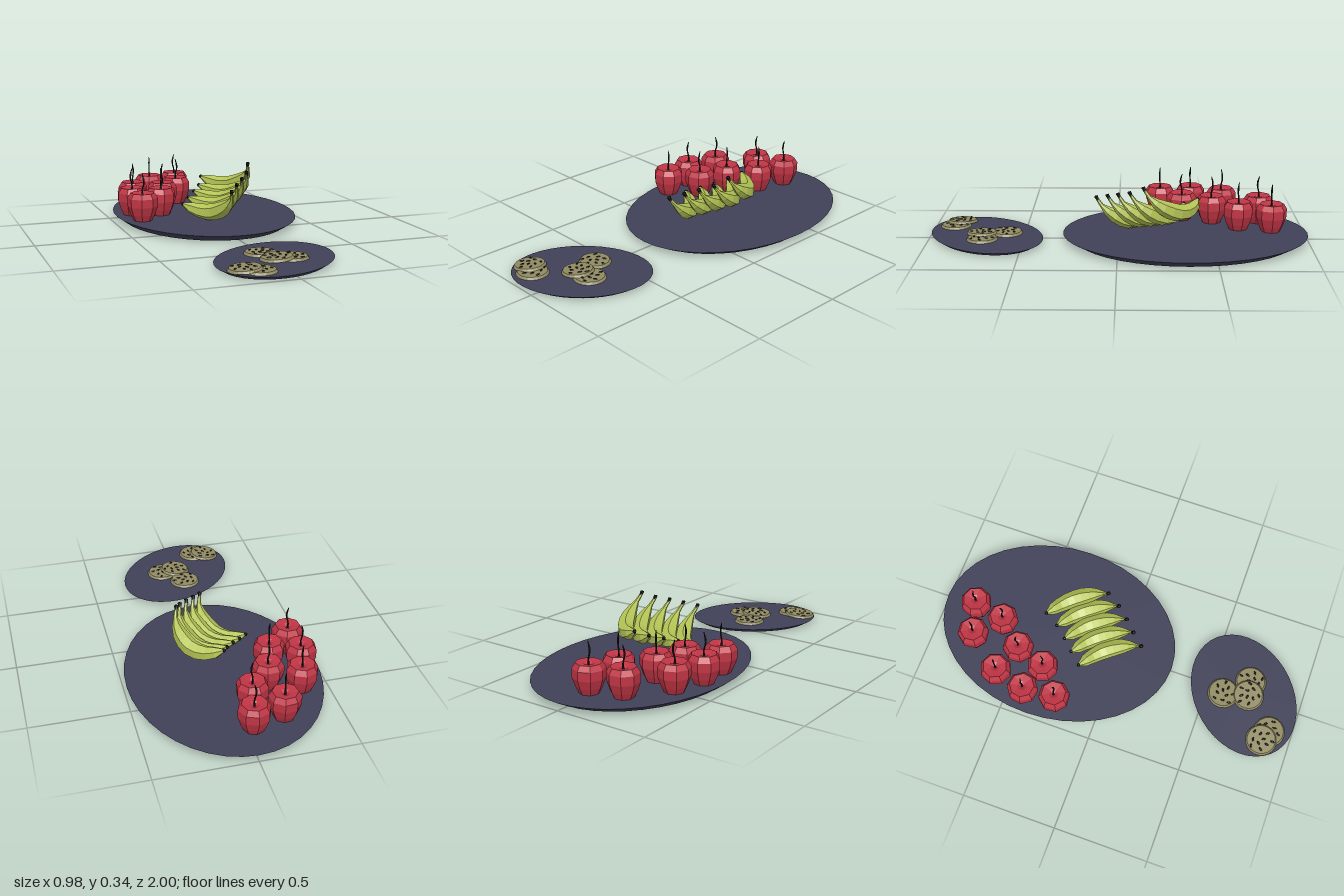
import * as THREE from 'three';

const paint = (color, flatShading = true) =>
  new THREE.MeshStandardMaterial({ color, flatShading, side: THREE.DoubleSide });
const slate = paint(0x404058);
const red = paint(0xc03545);
const green = paint(0xb4c455);
const dark = paint(0x1c1818);
const biscuit = paint(0x918b62);

const v = (x, y, z) => new THREE.Vector3(x, y, z);

function add(parent, name, geometry, material, x = 0, y = 0, z = 0) {
  const mesh = new THREE.Mesh(geometry, material);
  mesh.name = name;
  mesh.position.set(x, y, z);
  parent.add(mesh);
  return mesh;
}

// Tube whose radius follows a list of values along its length
function taperedTube(points, radii, segments, sides) {
  const curve = new THREE.CatmullRomCurve3(points);
  const geo = new THREE.TubeGeometry(curve, segments, 1, sides);
  const pos = geo.attributes.position;
  const p = v(0, 0, 0);
  for (let i = 0; i < pos.count; i++) {
    const t = Math.floor(i / (sides + 1)) / segments;
    const k = Math.min(Math.floor(t * (radii.length - 1)), radii.length - 2);
    const r = THREE.MathUtils.lerp(radii[k], radii[k + 1], t * (radii.length - 1) - k);
    const c = curve.getPointAt(t);
    p.fromBufferAttribute(pos, i).sub(c).multiplyScalar(r).add(c);
    pos.setXYZ(i, p.x, p.y, p.z);
  }
  geo.computeVertexNormals();
  return geo;
}

// Oval plate with a bevelled underside
function addPlate(parent, name, z, size, turn) {
  const geo = new THREE.CylinderGeometry(1, 0.895, 0.037, 40).translate(0, 0.0185, 0);
  const plate = add(parent, name, geo, slate, 0, 0, z);
  plate.scale.set(0.49 * size, size, 0.645 * size);
  plate.rotation.y = turn;
}

// Eight-sided apple with a dimpled top and a wavy stalk
const appleProfile = [
  [0, 0.042], [0.05, 0.037], [0.066, 0.07], [0.081, 0.115],
  [0.081, 0.16], [0.064, 0.187], [0.025, 0.181], [0, 0.165],
].map(([r, y]) => new THREE.Vector2(r, y));
const appleGeo = new THREE.LatheGeometry(appleProfile, 8);
const stalkGeo = taperedTube(
  [v(0, 0.165, 0), v(0.002, 0.2, 0), v(-0.007, 0.235, 0), v(-0.006, 0.26, 0), v(0.002, 0.29, 0)],
  [0.006, 0.004, 0.004, 0.005, 0.002], 8, 5);

function addApple(parent, x, z, turn) {
  const apple = new THREE.Group();
  apple.name = 'apple';
  add(apple, 'appleBody', appleGeo, red);
  add(apple, 'appleStalk', stalkGeo, dark);
  apple.position.set(x, 0, z);
  apple.rotation.y = turn;
  parent.add(apple);
}

// Banana curving up to its stalk end
const bananaGeo = taperedTube(
  [v(-0.172, 0.122, -0.171), v(-0.105, 0.092, -0.135), v(-0.04, 0.088, -0.075),
    v(0, 0.12, 0), v(0.013, 0.17, 0.07), v(0.004, 0.212, 0.105), v(0, 0.222, 0.111)],
  [0.009, 0.031, 0.038, 0.043, 0.045, 0.044, 0.038, 0.026, 0.011, 0.008], 9, 6);
const bananaStalkGeo = taperedTube(
  [v(0.004, 0.21, 0.103), v(0.001, 0.222, 0.11), v(0, 0.233, 0.116)],
  [0.008, 0.009, 0.011], 2, 6);
const bananaCapGeo = new THREE.SphereGeometry(0.0105, 6, 4);

function addBanana(parent, x, y, z) {
  const banana = new THREE.Group();
  banana.name = 'banana';
  add(banana, 'bananaBody', bananaGeo, green);
  add(banana, 'bananaStalk', bananaStalkGeo, dark);
  add(banana, 'bananaStalkEnd', bananaCapGeo, dark, 0, 0.231, 0.115).scale.y = 0.4;
  add(banana, 'bananaTip', bananaCapGeo, dark, -0.173, 0.123, -0.172);
  banana.position.set(x, y, z);
  parent.add(banana);
}

// Round biscuit with chips scattered in a spiral
const biscuitGeo = new THREE.CylinderGeometry(0.074, 0.082, 0.012, 20);
const chipGeo = new THREE.SphereGeometry(1, 6, 4).scale(0.012, 0.004, 0.006);

function addBiscuit(parent, x, y, z, turn, tilt) {
  const group = new THREE.Group();
  group.name = 'biscuit';
  add(group, 'biscuitBase', biscuitGeo, biscuit);
  for (let i = 0; i < 10; i++) {
    const a = i * 2.4;
    const r = 0.064 * Math.sqrt((i + 0.4) / 10);
    const chip = add(group, 'chip', chipGeo, dark, r * Math.cos(a), 0.007, r * Math.sin(a));
    chip.rotation.y = i * 1.9;
  }
  group.position.set(x, y, z);
  group.rotation.set(0, turn, tilt, 'ZYX');
  parent.add(group);
}

export function createModel() {
  const model = new THREE.Group();
  model.name = 'fruitAndBiscuitPlates';

  addPlate(model, 'largePlate', -0.355, 1, 0);
  addPlate(model, 'smallPlate', 0.695, 0.541, -0.85);

  [[-0.03, -0.81], [-0.195, -0.76], [-0.07, -0.64], [-0.345, -0.57],
    [-0.19, -0.505], [-0.395, -0.4], [-0.245, -0.345], [-0.38, -0.23],
  ].forEach(([x, z], i) => addApple(model, x, z, i * 1.3));

  // Bunch climbing towards the back
  const bunch = new THREE.Group();
  bunch.name = 'bananaBunch';
  [[0, 0, 0], [0.05, 0.022, -0.06], [0.1, 0.043, -0.115],
    [0.148, 0.064, -0.175], [0.183, 0.098, -0.245],
  ].forEach((p) => addBanana(bunch, ...p));
  model.add(bunch);

  // One single biscuit and two overlapping pairs
  addBiscuit(model, -0.03, 0.026, 0.59, 0.4, 0);
  addBiscuit(model, 0.08, 0.026, 0.71, 1.7, 0);
  addBiscuit(model, 0, 0.033, 0.72, 2.9, 0.08);
  addBiscuit(model, -0.15, 0.026, 0.882, 4.1, 0);
  addBiscuit(model, -0.21, 0.033, 0.855, 5.2, 0.08);

  return model;
}
